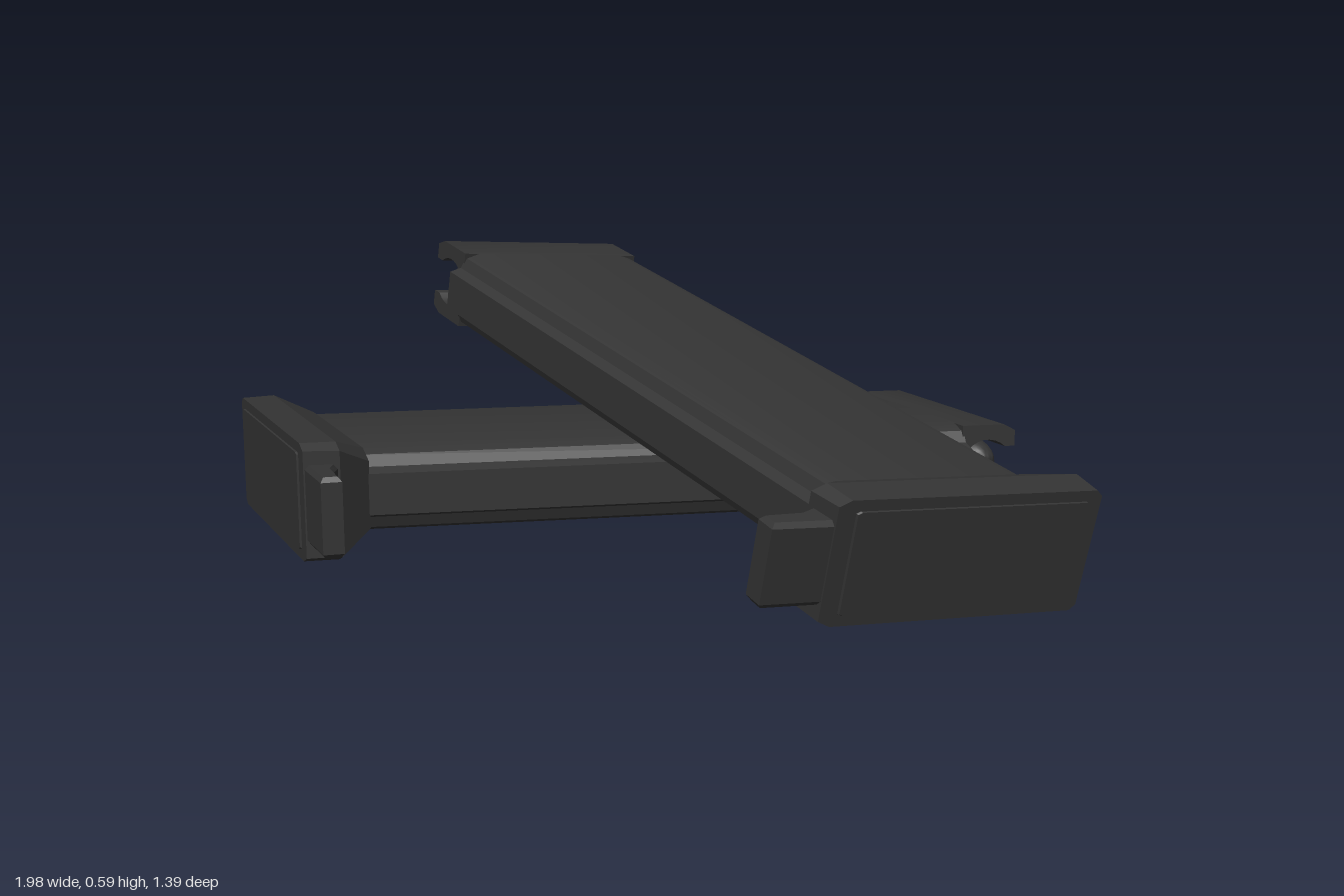
import * as THREE from 'three';
import { toCreasedNormals } from 'three/addons/utils/BufferGeometryUtils.js';

const BACK = -0.4;    // rear wall of the body
const SLANT = 0.28;   // both ends lean by this much per unit of depth
const material = new THREE.MeshStandardMaterial({ color: 0x333333 });

// Local frame: x runs along the length, y is thickness, z points to the cartridge tip.
function slantedMesh(geometry, name, crease = 0.6) {
  const pos = geometry.attributes.position;
  for (let i = 0; i < pos.count; i++) {
    pos.setX(i, pos.getX(i) + SLANT * (pos.getZ(i) - BACK));
  }
  const mesh = new THREE.Mesh(toCreasedNormals(geometry, crease), material);
  mesh.name = name;
  return mesh;
}

// Skin through rings; each ring is [x, half outline of [z, y] from rear to front].
function loft(rings) {
  const loops = rings.map(([x, half]) => [
    ...half.map(([z, y]) => [x, y, z]),
    ...half.slice().reverse().map(([z, y]) => [x, -y, z]),
  ]);
  const out = [];
  const quad = (a, b, c, d) => out.push(...a, ...b, ...c, ...a, ...c, ...d);
  const n = loops[0].length;
  for (let r = 0; r < loops.length - 1; r++) {
    for (let i = 0; i < n; i++) {
      const j = (i + 1) % n;
      quad(loops[r][i], loops[r][j], loops[r + 1][j], loops[r + 1][i]);
    }
  }
  const first = loops[0], last = loops[loops.length - 1];
  for (let i = 0; i < n / 2 - 1; i++) {
    const m = n - 1 - i;
    quad(last[i], last[i + 1], last[m - 1], last[m]);
    quad(first[m], first[m - 1], first[i + 1], first[i]);
  }
  const geometry = new THREE.BufferGeometry();
  geometry.setAttribute('position', new THREE.Float32BufferAttribute(out, 3));
  return geometry;
}

// Rectangle outline with cut corners
const plate = (z0, z1, w, cut) => [[z0, w - cut], [z0 + cut, w], [z1 - 2 * cut, w], [z1, w - cut]];

function createMagazine() {
  const group = new THREE.Group();

  // Body: rounded rear, narrower rib along the front
  const section = [[-0.4, 0.055], [-0.396, 0.073], [-0.386, 0.086], [-0.365, 0.092],
    [-0.02, 0.092], [0.008, 0.08], [0.018, 0.055], [0.042, 0.045]];
  group.add(slantedMesh(loft([[-0.8, section], [0.58, section]]), 'body'));

  // Feed lips: curl round the top cartridge, open at front and rear
  const cx = 0.635, radius = 0.058;
  for (const side of [1, -1]) {
    const lip = new THREE.Shape();
    lip.moveTo(0.575, 0.092 * side);
    lip.lineTo(0.672, 0.092 * side);
    lip.lineTo(0.698, 0.078 * side);
    lip.lineTo(0.698, 0.042 * side);
    for (let i = 0; i <= 8; i++) {
      const a = 0.8 + (i / 8) * 1.9;
      lip.lineTo(cx + radius * Math.cos(a), side * radius * Math.sin(a));
    }
    lip.lineTo(0.575, 0.025 * side);
    const geometry = new THREE.ExtrudeGeometry(lip, { depth: 0.413, bevelEnabled: false });
    geometry.translate(0, 0, BACK);
    group.add(slantedMesh(geometry, side > 0 ? 'leftFeedLip' : 'rightFeedLip'));
  }

  // Top cartridge with a rounded tip
  const profile = [[0, -0.375], [0.048, -0.375], [0.052, -0.37], [0.052, -0.07]];
  for (let i = 1; i <= 8; i++) {
    const a = (i / 8) * Math.PI / 2;
    profile.push([0.052 * Math.cos(a), -0.07 + 0.075 * Math.sin(a)]);
  }
  const cartridge = new THREE.LatheGeometry(profile.map(([r, y]) => new THREE.Vector2(Math.max(r, 0), y)), 24);
  cartridge.rotateX(Math.PI / 2);
  cartridge.translate(cx, 0, 0);
  group.add(slantedMesh(cartridge, 'cartridge', 0.8));

  // Flared base, its inset floor panel and the front toe
  group.add(slantedMesh(loft([
    [-0.903, plate(-0.422, 0.106, 0.127, 0.012)],
    [-0.828, plate(-0.443, 0.107, 0.127, 0.014)],
    [-0.75, plate(-0.402, 0.04, 0.093, 0.02)],
  ]), 'base', 0.4));
  group.add(slantedMesh(loft([
    [-0.907, plate(-0.395, 0.07, 0.104, 0.004)],
    [-0.89, plate(-0.4, 0.075, 0.108, 0.004)],
  ]), 'floorPanel', 0.4));
  const toe = new THREE.Shape();
  [[0.05, -0.9], [0.222, -0.899], [0.218, -0.855], [0.14, -0.85], [0.105, -0.832], [0.05, -0.832]]
    .forEach(([z, x], i) => (i ? toe.lineTo(x, z) : toe.moveTo(x, z)));
  const toeGeometry = new THREE.ExtrudeGeometry(toe, {
    depth: 0.15, bevelThickness: 0.01, bevelSize: 0.008, bevelOffset: -0.008, bevelSegments: 1,
  });
  toeGeometry.translate(0, 0, -0.075);
  toeGeometry.rotateX(Math.PI / 2);
  group.add(slantedMesh(toeGeometry, 'toe', 0.4));
  return group;
}

export function createModel() {
  const model = new THREE.Group();

  // Lower magazine lies flat
  const lower = createMagazine();
  lower.name = 'lowerMagazine';
  lower.rotation.y = 0.555;
  lower.position.y = 0.13;
  model.add(lower);

  // Upper magazine is turned over and leans across the lower one
  const upper = createMagazine();
  upper.name = 'upperMagazine';
  const along = new THREE.Vector3(-0.832, 0.22, -0.509).normalize();
  const front = new THREE.Vector3(-0.522, 0, 0.853).normalize();
  const across = new THREE.Vector3().crossVectors(front, along).normalize();
  upper.quaternion.setFromRotationMatrix(new THREE.Matrix4().makeBasis(along, across, front));
  upper.position.set(-0.015, 0.33, 0.117);
  model.add(upper);
  return model;
}
